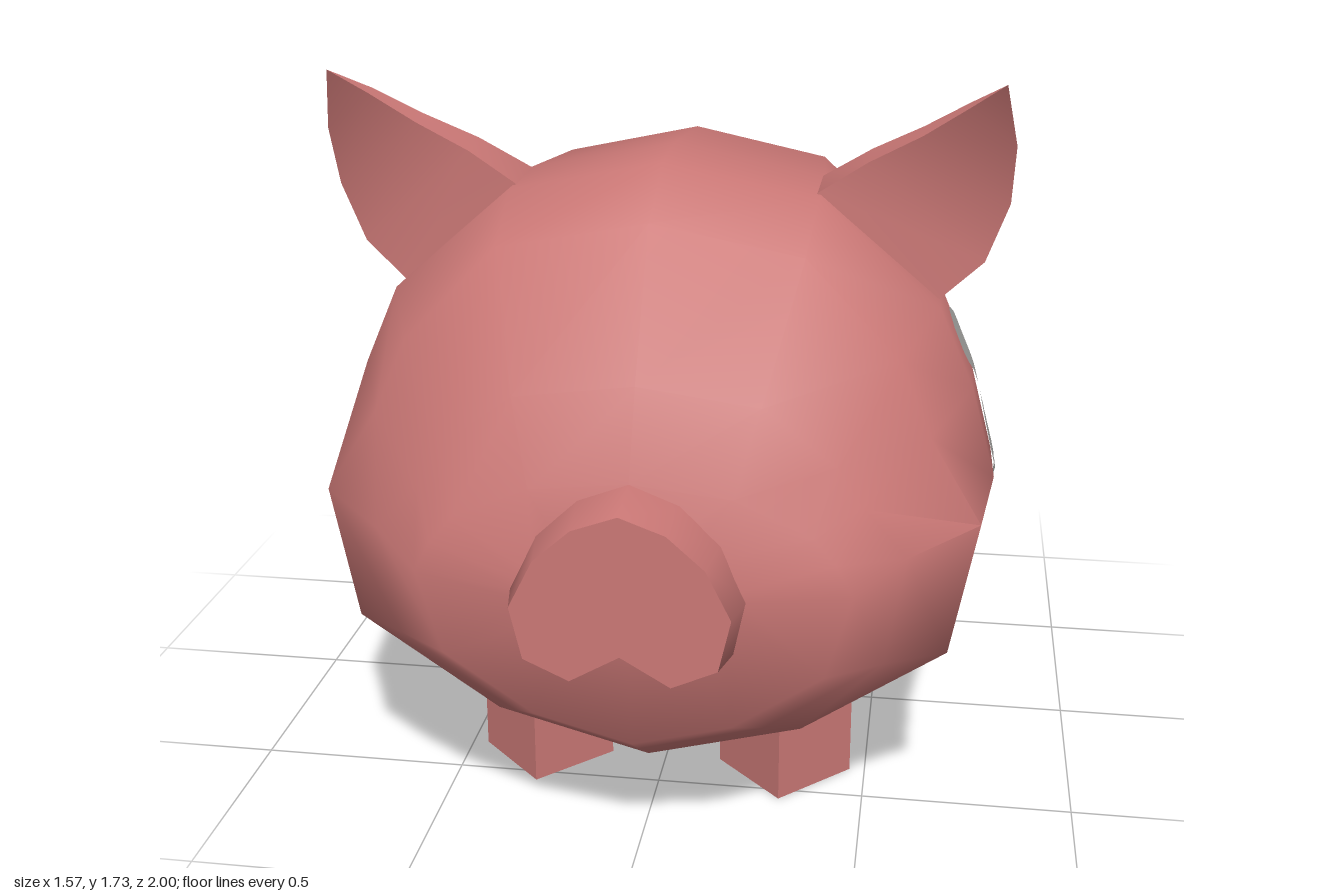
import * as THREE from 'three';
import { toCreasedNormals, mergeVertices } from 'three/addons/utils/BufferGeometryUtils.js';

const pink = new THREE.MeshStandardMaterial({ color: 0xcb7876 });
pink.name = 'pink';
const grey = new THREE.MeshStandardMaterial({ color: 0xa8a7a5 });
grey.name = 'grey patch';

// Skin closed rings of [x, y, z] points (counter-clockwise seen from the last ring), with capped ends
function loft(rings, crease) {
  const n = rings[0].length, index = [];
  for (let i = 0; i < rings.length - 1; i++) {
    for (let j = 0; j < n; j++) {
      const a = i * n + j, b = i * n + (j + 1) % n;
      index.push(a, b, b + n, a, b + n, a + n);
    }
  }
  const last = (rings.length - 1) * n;
  for (let j = 1; j < n - 1; j++) index.push(0, j + 1, j, last, last + j, last + j + 1);
  const g = new THREE.BufferGeometry();
  g.setAttribute('position', new THREE.Float32BufferAttribute(rings.flat(2), 3));
  g.setIndex(index);
  return toCreasedNormals(g, crease);
}

// Mirror rings across x = 0, keeping the winding
const mirrorRings = rings => rings.map(r => r.map(([x, y, z]) => [-x, y, z]).reverse());

export function createModel() {
  const group = new THREE.Group();
  const add = (name, geometry, material = pink) => {
    const mesh = new THREE.Mesh(geometry, material);
    mesh.name = name;
    group.add(mesh);
    return mesh;
  };

  // Body: z, half width, bottom, widest height, top, upper side pinch, backward lean of the top
  const half = [[0, 1], [0.46, 0.9], [0.82, 0.56], [0.925, 0.3], [1, 0], [0.88, -0.5], [0.46, -0.85], [0, -1]];
  const outline = [...half, ...half.slice(1, 7).reverse().map(([x, y]) => [-x, y])].reverse();
  const stations = [
    [-0.82, 0.06, 0.74, 0.78, 0.82, 1, 0],
    [-0.73, 0.38, 0.46, 0.81, 1.17, 1, 0],
    [-0.545, 0.55, 0.29, 0.81, 1.36, 1, 0],
    [-0.17, 0.71, 0.14, 0.81, 1.505, 1, 0],
    [0.2, 0.77, 0.1, 0.81, 1.535, 1, 0],
    [0.4, 0.775, 0.12, 0.81, 1.525, 1, 0],
    [0.645, 0.745, 0.16, 0.79, 1.43, 0.91, 0.055],
    [0.78, 0.59, 0.25, 0.76, 1.12, 0.9, 0],
    [0.865, 0.48, 0.31, 0.7, 0.93, 1, 0],
    [0.905, 0.25, 0.64, 0.69, 0.76, 1, 0],
  ];
  const body = add('body', loft(stations.map(([z, w, bottom, mid, top, pinch, lean]) =>
    outline.map(([x, y]) => {
      const factor = y > 0.2 && y < 0.6 ? pinch : y < 0 ? 1 + (1 - pinch) / 2 : 1;
      return [x * w * factor, mid + y * (y > 0 ? top - mid : mid - bottom), z - lean * Math.max(0, y)];
    })), 1.1));

  // Snout: tapered heart-shaped plug
  const side = [[0.11, 0.89], [0.2, 0.81], [0.26, 0.69], [0.23, 0.56], [0.12, 0.51]];
  const snout = [[0, 0.93], ...side, [0, 0.58], ...side.map(([x, y]) => [-x, y]).reverse()].reverse();
  const snoutRing = (z, s) => snout.map(([x, y]) => [x * s, 0.72 + (y - 0.72) * s, z]);
  add('snout', loft([snoutRing(0.78, 1), snoutRing(0.88, 1), snoutRing(1, 0.91)], 0.95));

  // Ears: cupped wedges, each ring is inner front, outer front, outer back, inner back
  const tip = [0.755, 1.725, 0.45];
  const ear = [
    [[0.3, 1.4, 0.37], [0.56, 1.15, 0.34], [0.56, 1.15, 0.2], [0.3, 1.4, 0.2]],
    [[0.35, 1.46, 0.365], [0.625, 1.21, 0.34], [0.625, 1.21, 0.2], [0.35, 1.465, 0.2]],
    [[0.46, 1.53, 0.355], [0.73, 1.3, 0.315], [0.73, 1.3, 0.17], [0.465, 1.54, 0.24]],
    [[0.58, 1.595, 0.365], [0.78, 1.44, 0.33], [0.78, 1.44, 0.2], [0.58, 1.605, 0.3]],
    [[0.68, 1.665, 0.395], [0.785, 1.58, 0.38], [0.785, 1.58, 0.255], [0.68, 1.67, 0.355]],
    [tip, tip, tip, tip],
  ];
  add('leftEar', loft(ear, 0.6));
  add('rightEar', loft(mirrorRings(ear), 0.6));

  // Tail: short hexagonal stub with an upturned point
  const tailRing = (z, y, r, h) => Array.from({ length: 6 }, (_, i) => {
    const a = Math.PI / 2 + i * Math.PI / 3;
    return [r * Math.cos(a) / 0.866, y + h * Math.sin(a), z];
  });
  add('tail', loft([tailRing(-1, 0.9, 0, 0), tailRing(-0.9, 0.815, 0.06, 0.062),
    tailRing(-0.75, 0.8, 0.06, 0.062)], 0.4));

  // Legs: square posts turned 45 degrees
  for (const [end, z] of [['front', 0.378], ['back', -0.27]]) {
    for (const [sideName, s] of [['Left', 1], ['Right', -1]]) {
      const post = toCreasedNormals(new THREE.CylinderGeometry(0.163, 0.163, 0.46, 4), 0.5);
      add(`${end}${sideName}Leg`, post).position.set(0.3 * s, 0.23, z);
    }
  }

  // Side patches: two crossing strips and a short upright one, laid onto the body surface
  const ray = new THREE.Raycaster();
  const arms = [[0.325, 1.145, -0.18, 0.815], [-0.17, 1.14, 0.335, 0.78], [0.045, 1.065, 0.06, 0.86]];
  for (const s of [1, -1]) {
    arms.forEach(([z0, y0, z1, y1], k) => {
      const strip = new THREE.PlaneGeometry(2, 1, 36, 8);
      const p = strip.attributes.position;
      const length = Math.hypot(z1 - z0, y1 - y0);
      const dz = (z1 - z0) / length, dy = (y1 - y0) / length;
      for (let i = 0; i < p.count; i++) {
        const u = p.getX(i);
        const wobble = 0.006 * Math.sin(u * 11 + k * 2);
        const width = (0.142 + 0.01 * u * u + wobble) * Math.sqrt(Math.max(0, 1 - u ** 8));
        const v = p.getY(i) * width;
        const z = (z0 + z1) / 2 + u * dz * length / 2 - v * dy;
        const y = (y0 + y1) / 2 + u * dy * length / 2 + v * dz;
        ray.set(new THREE.Vector3(2 * s, y, z), new THREE.Vector3(-s, 0, 0));
        const hit = ray.intersectObject(body)[0];
        p.setXYZ(i, hit.point.x + 0.006 * s, y, z);
      }
      // Keep the faces pointing outward on both sides
      const id = strip.index.array;
      if (s > 0) for (let i = 0; i < id.length; i += 3) [id[i], id[i + 1]] = [id[i + 1], id[i]];
      strip.deleteAttribute('uv');
      strip.deleteAttribute('normal');
      const patch = mergeVertices(strip);
      patch.computeVertexNormals();
      add(`${s > 0 ? 'left' : 'right'}Patch${k + 1}`, patch, grey);
    });
  }
  return group;
}
